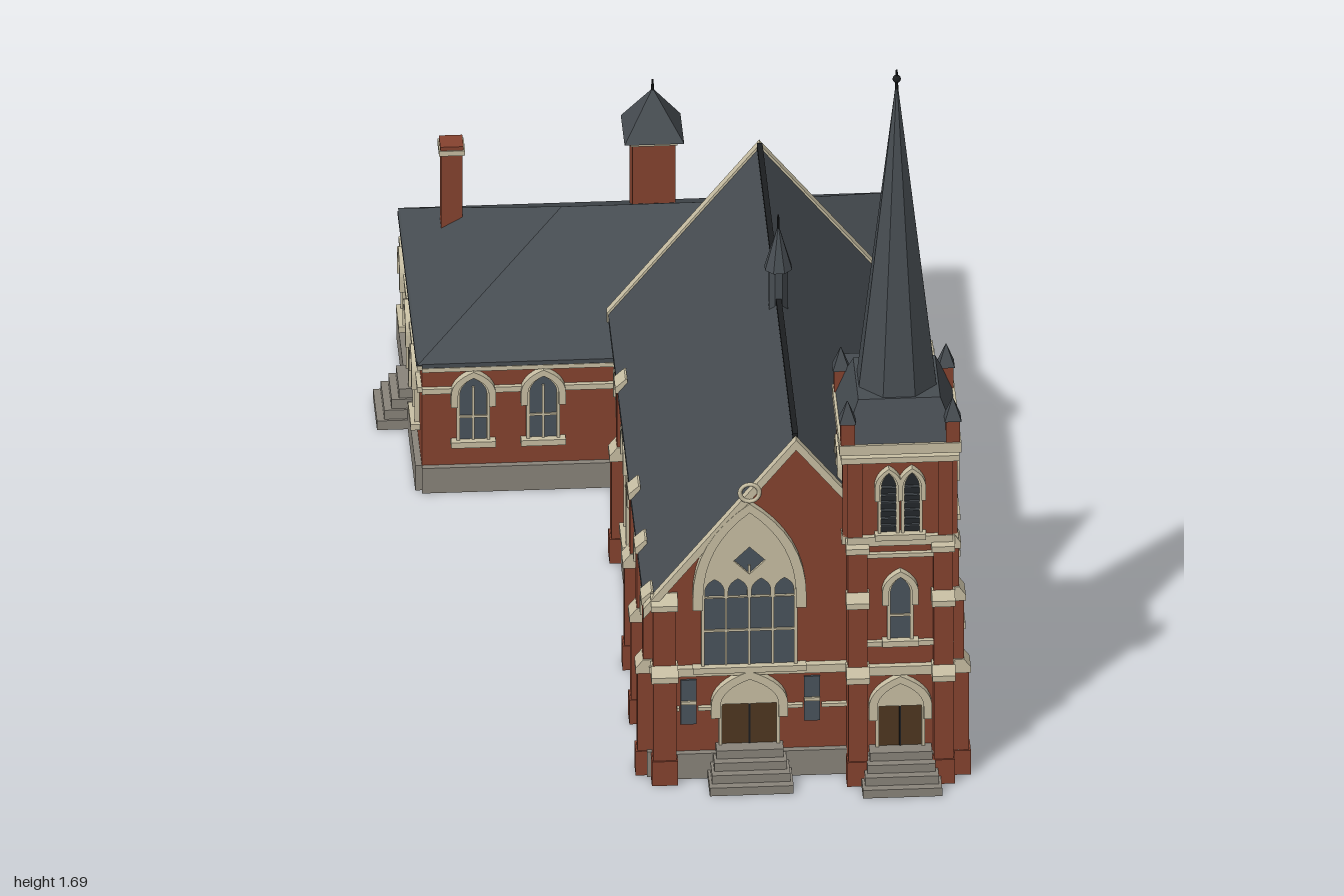
import * as THREE from 'three';

const mat = (name, color, side = THREE.FrontSide) => Object.assign(new THREE.MeshStandardMaterial({ color, side }), { name });
const D = THREE.DoubleSide;
const brick = mat('brick', 0x86432f, D), slate = mat('slate', 0x474d52, D), stone = mat('paleStone', 0xc9c0a4, D);
const plinth = mat('plinthStone', 0x89847a), glass = mat('windowGlass', 0x4a535c), wood = mat('doorWood', 0x4f3720);
const louvre = mat('louvre', 0x24282b), iron = mat('iron', 0x1c1e20);

function add(parent, name, geo, material, x = 0, y = 0, z = 0) {
  const m = new THREE.Mesh(geo, material);
  m.name = name;
  m.position.set(x, y, z);
  parent.add(m);
  return m;
}
const box = (p, name, w, h, d, m, x, y, z) => add(p, name, new THREE.BoxGeometry(w, h, d), m, x, y, z);
const poly = pts => new THREE.Shape(pts.map(([x, y]) => new THREE.Vector2(x, y)));
const extrude = (shape, depth) => new THREE.ExtrudeGeometry(shape, { depth, bevelEnabled: false, curveSegments: 8 });
// flat-sided prism, frustum or pyramid; a is the half width across the flats
function prism(p, name, n, aTop, aBottom, h, m, x, y, z) {
  const k = 1 / Math.cos(Math.PI / n);
  let g = new THREE.CylinderGeometry(aTop * k, aBottom * k, h, n).rotateY(Math.PI / n).toNonIndexed();
  g.computeVertexNormals();
  return add(p, name, g, m, x, y + h / 2, z);
}
// pointed arch outline
function arch(w, h, rise, y0 = 0, cx = 0, shape = new THREE.Shape()) {
  const a = w / 2, s = h - rise, c = s + rise * 0.62;
  shape.moveTo(cx - a, y0).lineTo(cx + a, y0).lineTo(cx + a, s).quadraticCurveTo(cx + a, c, cx, h);
  shape.quadraticCurveTo(cx - a, c, cx - a, s).lineTo(cx - a, y0);
  return shape;
}
// open arched band of width t, from y0 up and over
function archBand(w, h, rise, t, y0) {
  const s = h - rise, a = w / 2, b = a + t, c = s + rise * 0.62, d = s + (rise + t) * 0.62;
  const p = new THREE.Shape().moveTo(b, y0);
  p.lineTo(b, s).quadraticCurveTo(b, d, 0, h + t).quadraticCurveTo(-b, d, -b, s).lineTo(-b, y0);
  p.lineTo(-a, y0).lineTo(-a, s).quadraticCurveTo(-a, c, 0, h).quadraticCurveTo(a, c, a, s).lineTo(a, y0);
  return p;
}
// inverted V strip for roofs and copings
const chevron = (half, eave, ridge, t, cx = 0) => poly([[cx - half, eave], [cx, ridge], [cx + half, eave],
  [cx + half, eave - t], [cx, ridge - t], [cx - half, eave - t]]);

// facade: local x along the wall, local z outward
function facade(root, name, x, z, ry, outline, plinths = []) {
  const g = new THREE.Group();
  g.name = name;
  g.position.set(x, 0, z);
  g.rotation.y = ry;
  root.add(g);
  add(g, name + 'Brickwork', new THREE.ShapeGeometry(poly(outline)), brick);
  for (const [a, b] of plinths) box(g, 'plinth', b - a, 0.062, 0.014, plinth, (a + b) / 2, 0.031, 0.007);
  return { g, holes: [] };
}
const rect = (a, b, h, y = 0) => [[a, y], [b, y], [b, h], [a, h]];

// arched window, louvre or door
function opening(f, u, y, w, h, o = {}) {
  const { rise = w * 0.7, t = 0.014, lights = 2, fill = glass, tracery = false, name = 'window' } = o;
  const g = new THREE.Group();
  g.name = name;
  g.position.set(u, y, 0);
  f.g.add(g);
  f.holes.push([u - w / 2 - t * 0.7, u + w / 2 + t * 0.7, y, y + h]);
  add(g, name + 'Pane', extrude(arch(w, h, rise), 0.009), fill, 0, 0, -0.0045);
  const s = h - rise;
  add(g, name + 'Frame', extrude(archBand(w - 0.008, h - 0.004, rise, 0.007, 0), 0.011), stone);
  add(g, name + 'Hood', extrude(archBand(w, h, rise, t, s - 0.03), 0.018), stone);
  if (name === 'door') {
    // stone tympanum over the door leaves
    add(g, 'tympanum', extrude(arch(w, h, rise, s), 0.009), stone);
    box(g, 'doorJoint', 0.004, s, 0.004, iron, 0, s / 2, 0.005);
    return;
  }
  box(g, name + 'Sill', w + 2 * t, 0.014, 0.02, stone, 0, -0.005, 0.01);
  if (fill === louvre) {
    for (let i = 1; i < 7; i++) box(g, 'slat', w, 0.004, 0.008, slate, 0, i * s / 6, 0.006);
    return;
  }
  for (let i = 1; i < lights; i++) box(g, 'mullion', 0.005, s + rise * 0.35, 0.005, stone, (i / lights - 0.5) * w, (s + rise * 0.35) / 2, 0.006);
  box(g, 'transom', w, 0.005, 0.005, stone, 0, s * 0.5, 0.006);
  if (tracery) {
    const y0 = s - 0.005, head = arch(w, h, rise, y0), cw = w / lights;
    for (let i = 0; i < lights; i++)
      head.holes.push(arch(cw - 0.009, y0 + cw * 0.95, cw * 0.6, y0 + 0.003, (i + 0.5 - lights / 2) * cw, new THREE.Path()));
    const r = w * 0.17, cy = y0 + cw + r + 0.008;
    head.holes.push(new THREE.Path([[0, -r], [r, 0], [0, r], [-r, 0]].map(([a, b]) => new THREE.Vector2(a, cy + b))));
    add(g, 'tracery', extrude(head, 0.006), stone, 0, 0, 0.005);
  }
}
function slot(f, u, y) {
  box(f.g, 'slotWindow', 0.034, 0.11, 0.009, glass, u, y + 0.055, 0);
  box(f.g, 'slotBar', 0.034, 0.008, 0.006, stone, u, y + 0.055, 0.006);
  f.holes.push([u - 0.02, u + 0.02, y, y + 0.11]);
}
// horizontal stone course, interrupted at the openings
function belt(f, a, b, y, h = 0.016, d = 0.01) {
  const cuts = f.holes.filter(k => k[2] < y + h / 2 && k[3] > y - h / 2).sort((p, q) => p[0] - q[0]);
  let u = a;
  for (const [c, e] of [...cuts, [b, b]]) {
    if (c > u) box(f.g, 'stoneCourse', c - u, h, d, stone, (u + c) / 2, y, d / 2);
    u = Math.max(u, e);
  }
}
// stepped buttress; stages are [top, depth] from the ground up
function buttress(f, u, w, stages) {
  let y = 0;
  stages.forEach(([top, d], i) => {
    const next = stages[i + 1] ? stages[i + 1][1] : 0.004;
    box(f.g, 'buttress', w, top - y, d, brick, u, (top + y) / 2, d / 2);
    const cap = extrude(poly([[0, 0], [d + 0.004, 0], [d + 0.004, 0.014], [next, 0.034], [0, 0.034]]), w + 0.008);
    add(f.g, 'buttressCap', cap.translate(0, 0, -(w + 0.008) / 2).rotateY(-Math.PI / 2), stone, u, top - 0.016, 0);
    y = top;
  });
  box(f.g, 'buttressFoot', w + 0.006, 0.06, stages[0][1] + 0.004, brick, u, 0.03, (stages[0][1] + 0.004) / 2);
}
function steps(f, u, w, depth, h) {
  for (let i = 0; i < 4; i++) {
    const d = depth * (1 - i / 5);
    box(f.g, 'step', w - i * 0.012, h / 4, d, plinth, u, h * (i + 0.5) / 4, d / 2);
  }
}

export function createModel() {
  const root = new THREE.Group();
  root.name = 'church';
  const R = Math.PI / 2;

  // nave front
  const front = facade(root, 'naveFront', 0, 0.88, 0, [[-0.09, 0], [0.525, 0], [0.525, 0.43], [0.215, 0.815], [-0.09, 0.43]], [[-0.09, 0.33]]);
  opening(front, 0.115, 0.275, 0.2, 0.385, { rise: 0.21, t: 0.022, lights: 4, tracery: true, name: 'greatWindow' });
  opening(front, 0.115, 0.06, 0.125, 0.185, { rise: 0.065, t: 0.02, fill: wood, name: 'door' });
  slot(front, -0.015, 0.13);
  slot(front, 0.25, 0.13);
  belt(front, -0.09, 0.325, 0.265, 0.02, 0.016);
  belt(front, -0.04, 0.325, 0.17, 0.008);
  buttress(front, -0.068, 0.05, [[0.27, 0.036], [0.44, 0.022]]);
  steps(front, 0.115, 0.18, 0.09, 0.08);
  add(front.g, 'roundel', new THREE.TorusGeometry(0.021, 0.005, 6, 20), stone, 0.115, 0.71, 0.018);

  // nave sides
  const left = facade(root, 'naveLeft', -0.09, 0, -R, rect(-0.345, 0.88, 0.44), [[-0.345, 0.88]]);
  for (const u of [0.745, 0.52, 0.295, 0.07, -0.17]) opening(left, u, 0.12, 0.078, 0.265, {});
  for (const u of [0.85, 0.635, 0.408, -0.04]) buttress(left, u, 0.04, [[0.27, 0.034], [0.44, 0.022]]);
  const right = facade(root, 'naveRight', 0.525, 0, R, rect(-0.88, 0.345, 0.44), [[-0.69, 0.345]]);
  for (const [u, h] of [[-0.597, 0.225], [-0.55, 0.255], [-0.503, 0.225]]) opening(right, u, 0.12, 0.036, h, { t: 0.011, lights: 1 });
  for (const u of [-0.05, 0.24]) opening(right, u, 0.12, 0.078, 0.265, {});
  for (const u of [-0.465, -0.403, -0.172, 0.322]) buttress(right, u, 0.038, [[0.27, 0.032], [0.45, 0.022]]);
  for (const [f, a, b] of [[left, -0.345, 0.88], [right, -0.69, 0.345]]) {
    belt(f, a, b, 0.265, 0.015);
    belt(f, a, b, 0.42, 0.012, 0.012);
  }
  const back = facade(root, 'naveBackGable', 0, -0.345, Math.PI, [[-0.525, 0.3], [0.09, 0.3], [0.09, 0.43], [-0.215, 0.815], [-0.525, 0.43]]);
  add(back.g, 'backRoundel', new THREE.TorusGeometry(0.03, 0.006, 6, 20), brick, -0.215, 0.69, 0.004);
  add(back.g, 'backRoundelPane', new THREE.CircleGeometry(0.028, 20), louvre, -0.215, 0.69, 0.003);

  // nave roof, copings and ridge
  add(root, 'naveRoof', extrude(chevron(0.325, 0.425, 0.83, 0.016, 0.215), 1.225), slate, 0, 0, -0.345);
  for (const z of [-0.366, 0.877]) add(root, 'gableCoping', extrude(chevron(0.328, 0.428, 0.837, 0.025, 0.215), 0.02), stone, 0, 0, z);
  box(root, 'ridgeCap', 0.012, 0.012, 1.22, iron, 0.215, 0.832, 0.26);

  // side gable
  const gable = facade(root, 'sideGable', 0.532, 0, R, [[-0.4, 0], [-0.17, 0], [-0.17, 0.44], [-0.285, 0.665], [-0.4, 0.44]], [[-0.4, -0.17]]);
  opening(gable, -0.285, 0.12, 0.168, 0.37, { rise: 0.14, t: 0.018, lights: 4, tracery: true, name: 'gableWindow' });
  add(gable.g, 'gableVent', new THREE.CylinderGeometry(0.018, 0.018, 0.008, 16).rotateX(R), wood, -0.285, 0.545, 0.003);
  belt(gable, -0.4, -0.17, 0.265);
  add(gable.g, 'sideGableRoof', extrude(chevron(0.125, 0.43, 0.685, 0.016, -0.285), 0.2), slate, 0, 0, -0.19);
  add(gable.g, 'sideGableCoping', extrude(chevron(0.127, 0.435, 0.69, 0.026, -0.285), 0.014), stone, 0, 0, 0.004);
  prism(gable.g, 'sideGableFinial', 4, 0.003, 0.007, 0.03, stone, -0.285, 0.68, 0.011);

  // ridge fleche
  prism(root, 'flecheShaft', 8, 0.02, 0.02, 0.12, slate, 0.215, 0.79, 0.285);
  prism(root, 'flecheSpire', 8, 0.002, 0.029, 0.1, slate, 0.215, 0.905, 0.285);
  prism(root, 'flecheRod', 8, 0.002, 0.003, 0.045, iron, 0.215, 0.99, 0.285);

  // tower
  const tx = 0.437, tz = 0.797, half = 0.113;
  [['Front', 0], ['Right', R], ['Back', 2 * R], ['Left', -R]].forEach(([n, ry], i) => {
    const f = facade(root, 'tower' + n, tx + Math.sin(ry) * half, tz + Math.cos(ry) * half, ry, rect(-half, half, 0.84), i < 2 ? [[-half, half]] : []);
    for (const u of [-0.025, 0.025]) opening(f, u, 0.61, 0.04, 0.155, { rise: 0.04, t: 0.01, fill: louvre, name: 'belfryOpening' });
    if (i < 2) {
      opening(f, 0, 0.345, 0.05, 0.16, { rise: 0.04, t: 0.014, lights: 1, name: 'towerWindow' });
      if (i === 0) {
        opening(f, 0, 0.06, 0.1, 0.18, { rise: 0.06, t: 0.018, fill: wood, name: 'door' });
        steps(f, 0, 0.17, 0.09, 0.08);
      } else slot(f, 0, 0.13);
      for (const u of [-0.092, 0.092]) buttress(f, u, 0.042, [[0.27, 0.035], [0.45, 0.024], [0.58, 0.014]]);
      belt(f, -half, half, 0.335, 0.012);
      belt(f, -half, half, 0.27, 0.022, 0.014);
      belt(f, -half, half, 0.555, 0.01);
    }
    belt(f, -half, half, 0.592, 0.022, 0.012);
    for (const u of [-0.097, 0.097]) box(f.g, 'cornerPilaster', 0.032, 0.19, 0.01, brick, u, 0.695, 0.005);
    belt(f, -half - 0.012, half + 0.012, 0.795, 0.014, 0.014);
    box(f.g, 'cornice', 2 * half + 0.036, 0.024, 0.018, stone, 0, 0.824, 0.009);
  });
  for (const sx of [-1, 1]) for (const sz of [-1, 1]) {
    prism(root, 'pinnacle', 4, 0.015, 0.015, 0.055, brick, tx + sx * 0.113, 0.835, tz + sz * 0.113);
    prism(root, 'pinnacleCap', 4, 0.001, 0.018, 0.05, slate, tx + sx * 0.113, 0.888, tz + sz * 0.113);
  }

  // spire
  prism(root, 'spireSkirt', 4, 0.088, 0.125, 0.09, slate, tx, 0.836, tz);
  prism(root, 'spire', 8, 0.003, 0.085, 0.74, slate, tx, 0.91, tz);
  prism(root, 'spireRod', 8, 0.002, 0.004, 0.06, iron, tx, 1.632, tz);
  add(root, 'spireBall', new THREE.SphereGeometry(0.009, 12, 8), iron, tx, 1.67, tz);

  // rear hall
  const H = 0.315;
  const walls = [
    [facade(root, 'hallFront', 0, -0.35, 0, rect(-0.51, -0.09, H), [[-0.51, -0.09]]), -0.51, -0.09, [-0.4, -0.25]],
    [facade(root, 'hallRight', 0.53, 0, R, rect(0.345, 0.985, H), [[0.345, 0.985]]), 0.345, 0.985, [0.525, 0.68, 0.855]],
    [facade(root, 'hallBack', 0, -0.985, Math.PI, rect(-0.53, 0.51, H), [[-0.53, 0.51]]), -0.53, 0.51, [-0.43, -0.26, -0.09, 0.08, 0.25, 0.41]],
    [facade(root, 'hallLeft', -0.51, 0, -R, rect(-0.985, -0.35, H), [[-0.985, -0.35]]), -0.985, -0.35, [-0.87, -0.46]],
  ];
  opening(walls[3][0], -0.675, 0.08, 0.08, 0.19, { rise: 0.045, fill: wood, name: 'door' });
  steps(walls[3][0], -0.675, 0.135, 0.08, 0.09);
  for (const [f, a, b, us] of walls) {
    for (const u of us) opening(f, u, 0.125, 0.066, 0.16, { rise: 0.042, t: 0.015 });
    belt(f, a, b, 0.25, 0.013);
    belt(f, a, b, 0.303, 0.01);
    box(f.g, 'hallEave', b - a, 0.01, 0.012, slate, (a + b) / 2, 0.315, 0.006);
  }
  const hip = new THREE.BufferGeometry();
  hip.setAttribute('position', new THREE.Float32BufferAttribute([
    -0.52, 0.318, -0.338, 0.545, 0.318, -0.338, 0.545, 0.318, -1, -0.52, 0.318, -1, -0.19, 0.505, -0.67, 0.212, 0.505, -0.67], 3));
  hip.setIndex([0, 1, 5, 0, 5, 4, 1, 2, 5, 2, 3, 4, 2, 4, 5, 3, 0, 4]);
  const hipFlat = hip.toNonIndexed();
  hipFlat.computeVertexNormals();
  add(root, 'hallRoof', hipFlat, slate);

  // roof cupola and chimney
  prism(root, 'cupola', 4, 0.046, 0.046, 0.22, brick, 0.01, 0.43, -0.745);
  prism(root, 'cupolaCornice', 4, 0.052, 0.05, 0.012, stone, 0.01, 0.633, -0.745);
  prism(root, 'cupolaRoof', 4, 0.002, 0.064, 0.1, slate, 0.01, 0.645, -0.745);
  prism(root, 'cupolaRod', 6, 0.002, 0.003, 0.035, iron, 0.01, 0.735, -0.745);
  box(root, 'chimney', 0.046, 0.21, 0.046, brick, -0.415, 0.445, -0.855);
  box(root, 'chimneyCap', 0.056, 0.012, 0.056, stone, -0.415, 0.552, -0.855);
  box(root, 'chimneyTop', 0.05, 0.01, 0.05, brick, -0.415, 0.562, -0.855);
  return root;
}
